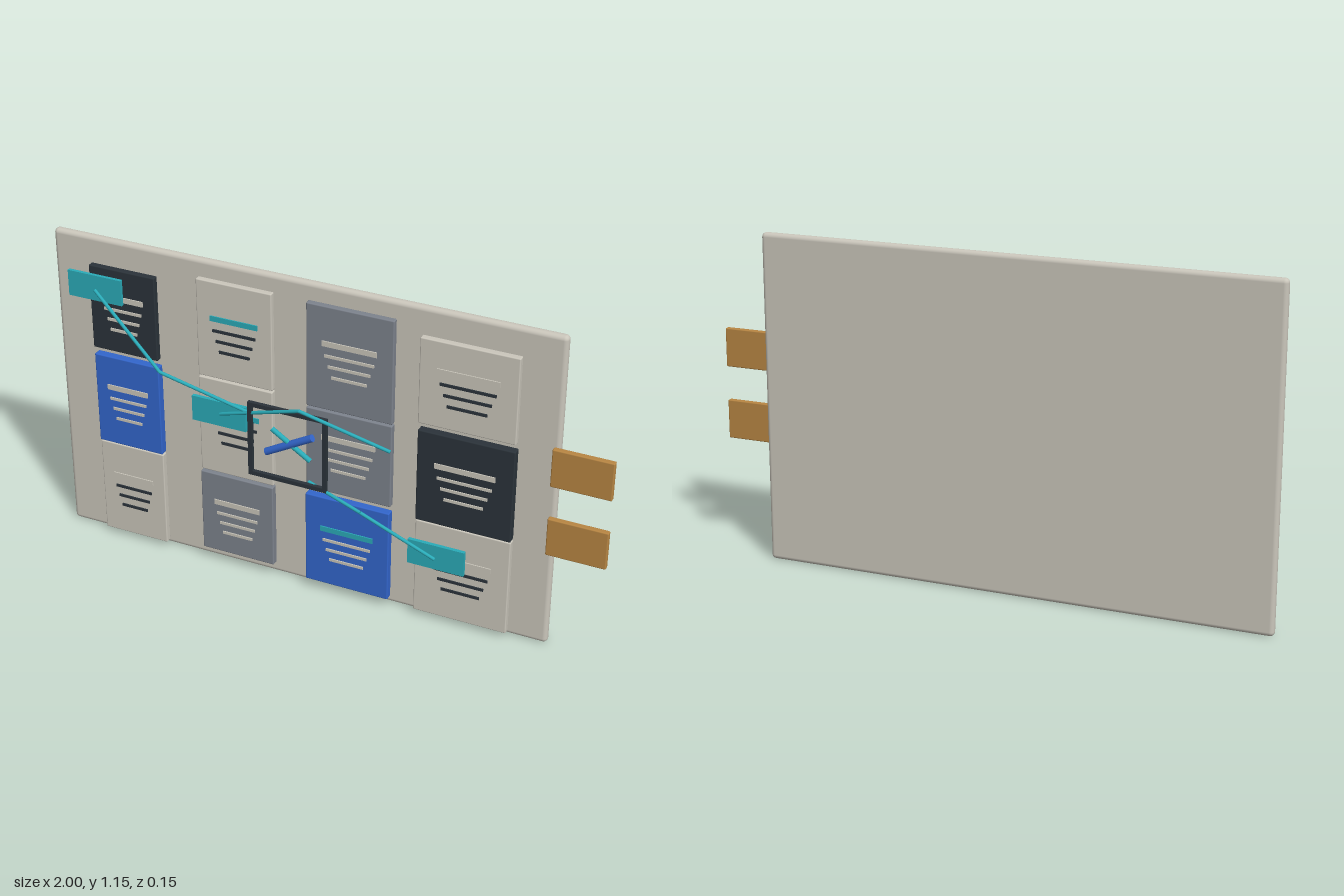
import * as THREE from 'three';
import { RoundedBoxGeometry } from 'three/addons/geometries/RoundedBoxGeometry.js';

const mat = (name, color) => new THREE.MeshStandardMaterial({ name, color });

export function createModel() {
  const root = new THREE.Group();
  root.name = 'planningBoard';
  const paper = mat('warm paper', 0xcac6bb);
  const dark = mat('charcoal', 0x2b333a);
  const grey = mat('slate grey', 0x7d838d);
  const blue = mat('blue', 0x3366cc);
  const teal = mat('teal', 0x2aabb8);
  const ochre = mat('ochre', 0xb88643);

  // Box given by its limits; r > 0 rounds the edges
  function box(name, m, x0, x1, y0, y1, z0, z1, r = 0, parent = root) {
    const size = [x1 - x0, y1 - y0, z1 - z0];
    const geo = r ? new RoundedBoxGeometry(...size, 3, r) : new THREE.BoxGeometry(...size);
    const mesh = new THREE.Mesh(geo, m);
    mesh.name = name;
    mesh.position.set((x0 + x1) / 2, (y0 + y1) / 2, (z0 + z1) / 2);
    parent.add(mesh);
    return mesh;
  }

  // Round rod between two points
  function rod(name, m, a, b, r, parent = root) {
    const p = new THREE.Vector3(...a), q = new THREE.Vector3(...b);
    const d = q.clone().sub(p);
    const mesh = new THREE.Mesh(new THREE.CylinderGeometry(r, r, d.length(), 12), m);
    mesh.name = name;
    mesh.position.copy(p).add(q).multiplyScalar(0.5);
    mesh.quaternion.setFromUnitVectors(new THREE.Vector3(0, 1, 0), d.normalize());
    parent.add(mesh);
  }

  // Backing board
  box('board', paper, -1, 0.805, 0, 1.155, -0.075, -0.042, 0.015);

  // Cards: x0, x1, y0, y1, z0, front z, card, heading, line colour, heading height
  const cards = [
    [-0.848, -0.602, 0.76, 1.07, -0.026, -0.003, dark, paper, paper, 0.965],
    [-0.848, -0.602, 0.39, 0.733, -0.035, -0.005, blue, paper, paper, 0.615],
    [-0.848, -0.602, 0.022, 0.385, -0.035, -0.01, paper, paper, dark, 0.257],
    [-0.452, -0.179, 0.743, 1.1, -0.034, -0.012, paper, teal, dark, 0.967],
    [-0.452, -0.179, 0.374, 0.738, -0.034, -0.01, paper, teal, dark, 0.617],
    [-0.452, -0.179, 0.053, 0.369, -0.03, -0.003, grey, paper, paper, 0.257],
    [-0.056, 0.249, 0.722, 1.1, -0.034, -0.012, grey, paper, paper, 0.967],
    [-0.056, 0.249, 0.406, 0.717, -0.034, -0.01, grey, paper, paper, 0.617],
    [-0.056, 0.249, 0.037, 0.385, -0.03, -0.001, blue, teal, paper, 0.262],
    [0.34, 0.672, 0.76, 1.07, -0.026, -0.003, paper, paper, dark, 0.965],
    [0.34, 0.672, 0.39, 0.733, -0.035, -0.005, dark, paper, paper, 0.615],
    [0.34, 0.672, 0.022, 0.385, -0.035, -0.01, paper, paper, dark, 0.257],
  ];
  for (const [x0, x1, y0, y1, z0, z1, cardMat, headMat, lineMat, headY] of cards) {
    const card = new THREE.Group();
    card.name = 'card';
    root.add(card);
    box('cardSheet', cardMat, x0, x1, y0, y1, z0, z1, 0.004, card);
    const cx = (x0 + x1) / 2, w = x1 - x0;
    const strip = (name, m, y, width, h) =>
      box(name, m, cx - width / 2, cx + width / 2, y - h / 2, y + h / 2, z1 - 0.002, z1 + 0.004, 0, card);
    strip('cardHeading', headMat, headY, w * 0.63, 0.019);
    [0.57, 0.49, 0.41].forEach((k, i) =>
      strip('cardLine', lineMat, headY - 0.044 - i * 0.038, w * k, 0.01));
  }

  // Teal tags and side tabs
  box('tag', teal, -0.915, -0.715, 0.955, 1.048, 0.009, 0.021);
  box('tag', teal, -0.46, -0.26, 0.587, 0.68, 0.014, 0.027);
  box('tag', teal, 0.325, 0.525, 0.228, 0.321, 0.005, 0.018);
  box('sideTab', ochre, 0.798, 1, 0.655, 0.792, 0, 0.02, 0.004);
  box('sideTab', ochre, 0.798, 1, 0.397, 0.535, 0, 0.02, 0.004);

  // Strings bowing out between the tags
  const strings = [
    [[-0.81, 1, 0.03], [-0.555, 0.767, 0.067], [-0.25, 0.668, 0.028]],
    [[-0.355, 0.634, 0.025], [-0.045, 0.744, 0.067], [0.26, 0.645, 0.025]],
    [[-0.03, 0.455, 0.028], [0.175, 0.412, 0.067], [0.425, 0.275, 0.028]],
  ];
  for (const [a, b, c] of strings) {
    rod('string', teal, a, b, 0.006);
    rod('string', teal, b, c, 0.006);
  }

  // Square focus frame
  const frame = new THREE.Group();
  frame.name = 'focusFrame';
  root.add(frame);
  for (const y of [0.44, 0.705]) box('frameBar', dark, -0.243, 0.043, y, y + 0.015, 0.034, 0.048, 0, frame);
  for (const x of [-0.243, 0.028]) box('frameSide', dark, x, x + 0.015, 0.44, 0.72, 0.034, 0.048, 0, frame);

  // Crossed pins inside the frame
  rod('bluePin', blue, [-0.174, 0.548, 0.05], [-0.005, 0.643, 0.05], 0.013);
  rod('tealPin', teal, [-0.152, 0.642, 0.05], [-0.013, 0.552, 0.05], 0.009);

  return root;
}
